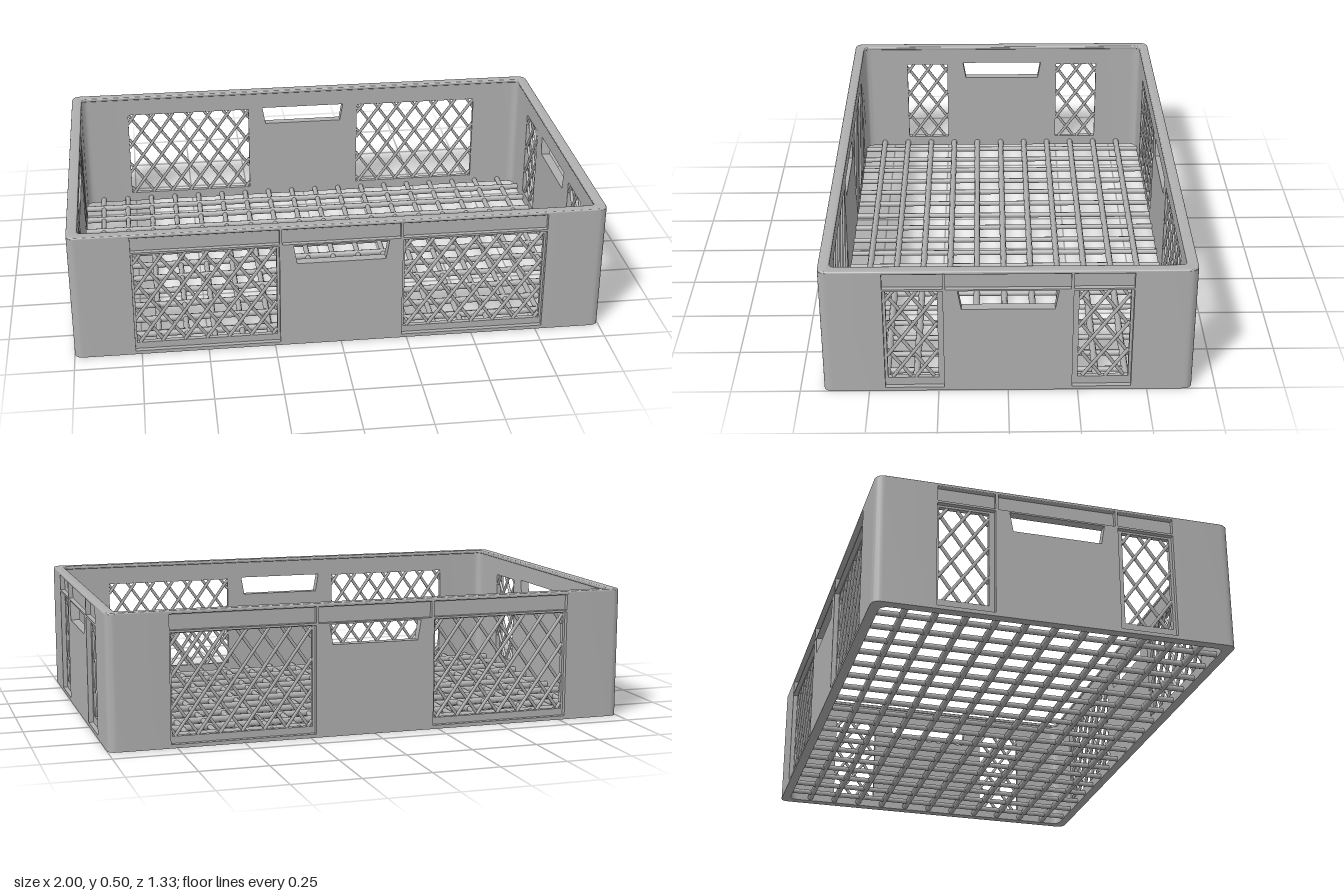
import * as THREE from 'three';
import { toCreasedNormals } from 'three/addons/utils/BufferGeometryUtils.js';

const HX = 1, HZ = 0.665, H = 0.5, T = 0.036, SKIN = 0.018, BAND = 0.42;

export function createModel() {
  const crate = new THREE.Group();
  crate.name = 'crate';
  const plastic = new THREE.MeshStandardMaterial({ color: 0xb0b0b0 });
  plastic.name = 'grey plastic';

  const add = (parent, geometry, name) => {
    const mesh = new THREE.Mesh(geometry, plastic);
    mesh.name = name;
    parent.add(mesh);
    return mesh;
  };
  const polygon = (points) => new THREE.Shape(points.map(([x, y]) => new THREE.Vector2(x, y)));
  const rect = (x0, y0, x1, y1) => polygon([[x0, y0], [x1, y0], [x1, y1], [x0, y1]]);
  const plate = (parent, shape, z0, z1, name) => add(parent,
    new THREE.ExtrudeGeometry(shape, { depth: z1 - z0, bevelEnabled: false }).translate(0, 0, z0), name);
  const bar = (parent, a, b, radius, sides, name) => {
    const d = new THREE.Vector3().subVectors(b, a);
    const mesh = add(parent, new THREE.CylinderGeometry(radius, radius, d.length(), sides), name);
    mesh.position.addVectors(a, b).multiplyScalar(0.5);
    mesh.quaternion.setFromUnitVectors(new THREE.Vector3(0, 1, 0), d.normalize());
  };

  // Diagonal strands clipped to the window rectangle
  function lattice(parent, x0, x1, y0, y1) {
    const slope = 1.4, pitch = 0.083, run = (y1 - y0) / slope;
    for (const dir of [1, -1]) {
      for (let c = x0 - run + 0.03; c < x1; c += pitch) {
        const a = Math.max(x0, c), b = Math.min(x1, c + run);
        if (b - a < 0.01) continue;
        const point = (x) => new THREE.Vector3(
          dir > 0 ? x : x0 + x1 - x, y0 + (x - c) * slope, -0.027 + dir * 0.003);
        bar(parent, point(a), point(b), 0.0065, 6, 'latticeStrand');
      }
    }
  }

  // One wall: x runs along it, its outer face lies on z = 0
  function wall(name, distance, angle, a, b, hole) {
    const g = new THREE.Group();
    g.name = name;
    const [x0, x1, y0, y1] = hole;
    const grip = [[-0.165, 0.345], [0.165, 0.345], [0.178, BAND], [-0.178, BAND]];

    // Inner skin with windows and hand hole
    const skin = rect(-b, 0, b, H - 0.005);
    skin.holes.push(rect(x0, y0, x1, y1), rect(-x1, y0, -x0, y1), polygon(grip));
    plate(g, skin, -T, -SKIN, 'wallSkin');

    // Raised centre panel, notched around the hand hole
    plate(g, polygon([[-a, 0], [a, 0], [a, BAND], [0.178, BAND], [0.165, 0.345],
      [-0.165, 0.345], [-0.178, BAND], [-a, BAND]]), -SKIN, 0, 'handlePanel');

    // Ledge below the rim, window sills and upright ribs
    for (const s of [-1, 1]) {
      plate(g, rect(s > 0 ? a : -b, 0, s > 0 ? b : -a, 0.014), -SKIN, 0, 'bottomRail');
      plate(g, rect(s > 0 ? a : -b, BAND, s > 0 ? b : -a, BAND + 0.008), -SKIN, 0, 'ledge');
      for (const x of [a, b]) {
        plate(g, rect(s * x - 0.005, 0, s * x + 0.005, H - 0.01), -SKIN, 0, 'rib');
      }
      lattice(g, s > 0 ? x0 : -x1, s > 0 ? x1 : -x0, y0, y1);
    }
    plate(g, rect(-a, BAND, a, BAND + 0.006), -SKIN, 0, 'handleLedge');

    g.rotation.y = angle;
    g.position.set(Math.sin(angle) * distance, 0, Math.cos(angle) * distance);
    crate.add(g);
  }
  const longHole = [0.24, 0.765, 0.04, 0.415], shortHole = [0.25, 0.432, 0.045, 0.412];
  wall('frontWall', HZ, 0, 0.225, 0.778, longHole);
  wall('backWall', HZ, Math.PI, 0.225, 0.778, longHole);
  wall('leftWall', HX, Math.PI / 2, 0.225, 0.447, shortHole);
  wall('rightWall', HX, -Math.PI / 2, 0.225, 0.447, shortHole);

  // Rounded corner posts, L-shaped in plan
  for (const sx of [-1, 1]) {
    for (const sz of [-1, 1]) {
      const s = new THREE.Shape(), r = 0.035, ix = HX - T, iz = HZ - T;
      s.moveTo(sx * 0.778, sz * HZ);
      s.lineTo(sx * (HX - r), sz * HZ);
      s.quadraticCurveTo(sx * HX, sz * HZ, sx * HX, sz * (HZ - r));
      s.lineTo(sx * HX, sz * 0.447);
      s.lineTo(sx * ix, sz * 0.447);
      s.lineTo(sx * ix, sz * (iz - r));
      s.quadraticCurveTo(sx * ix, sz * iz, sx * (ix - r), sz * iz);
      s.lineTo(sx * 0.778, sz * iz);
      s.closePath();
      const geometry = new THREE.ExtrudeGeometry(s, { depth: H - 0.005, bevelEnabled: false, curveSegments: 8 });
      add(crate, toCreasedNormals(geometry.rotateX(-Math.PI / 2), 0.6), 'cornerPost');
    }
  }

  // Top rim: a rounded rectangular ring with softened edges
  const ring = (Type, x, z, r) => {
    const p = new Type();
    p.moveTo(-x + r, -z);
    p.lineTo(x - r, -z);
    p.quadraticCurveTo(x, -z, x, -z + r);
    p.lineTo(x, z - r);
    p.quadraticCurveTo(x, z, x - r, z);
    p.lineTo(-x + r, z);
    p.quadraticCurveTo(-x, z, -x, z - r);
    p.lineTo(-x, -z + r);
    p.quadraticCurveTo(-x, -z, -x + r, -z);
    return p;
  };
  const bevel = 0.005;
  const rimShape = ring(THREE.Shape, HX - bevel, HZ - bevel, 0.033);
  rimShape.holes.push(ring(THREE.Path, HX - 0.04 + bevel, HZ - 0.04 + bevel, 0.03));
  const rim = new THREE.ExtrudeGeometry(rimShape, {
    depth: 0.004, bevelSize: bevel, bevelThickness: bevel, bevelSegments: 3, curveSegments: 8,
  }).rotateX(-Math.PI / 2).translate(0, H - 0.004 - bevel, 0);
  add(crate, toCreasedNormals(rim, 0.7), 'topRim');

  // Open grid floor
  const floor = new THREE.Group();
  floor.name = 'floorGrid';
  for (let i = 0; i < 18; i++) {
    const x = (i - 8.5) * 0.105;
    bar(floor, new THREE.Vector3(x, 0.013, -HZ + 0.03), new THREE.Vector3(x, 0.013, HZ - 0.03), 0.011, 8, 'crossBar');
  }
  for (let i = 0; i < 11; i++) {
    const z = (i - 5) * 0.1085 + 0.006;
    bar(floor, new THREE.Vector3(-HX + 0.03, 0.015, z), new THREE.Vector3(HX - 0.03, 0.015, z), 0.013, 8, 'longBar');
  }
  crate.add(floor);
  // Rim bevel lifts the top by a hair; keep the full height exact
  crate.getObjectByName('topRim').position.y = -bevel;
  crate.getObjectByName('topRim').position.y += bevel;
  return crate;
}
